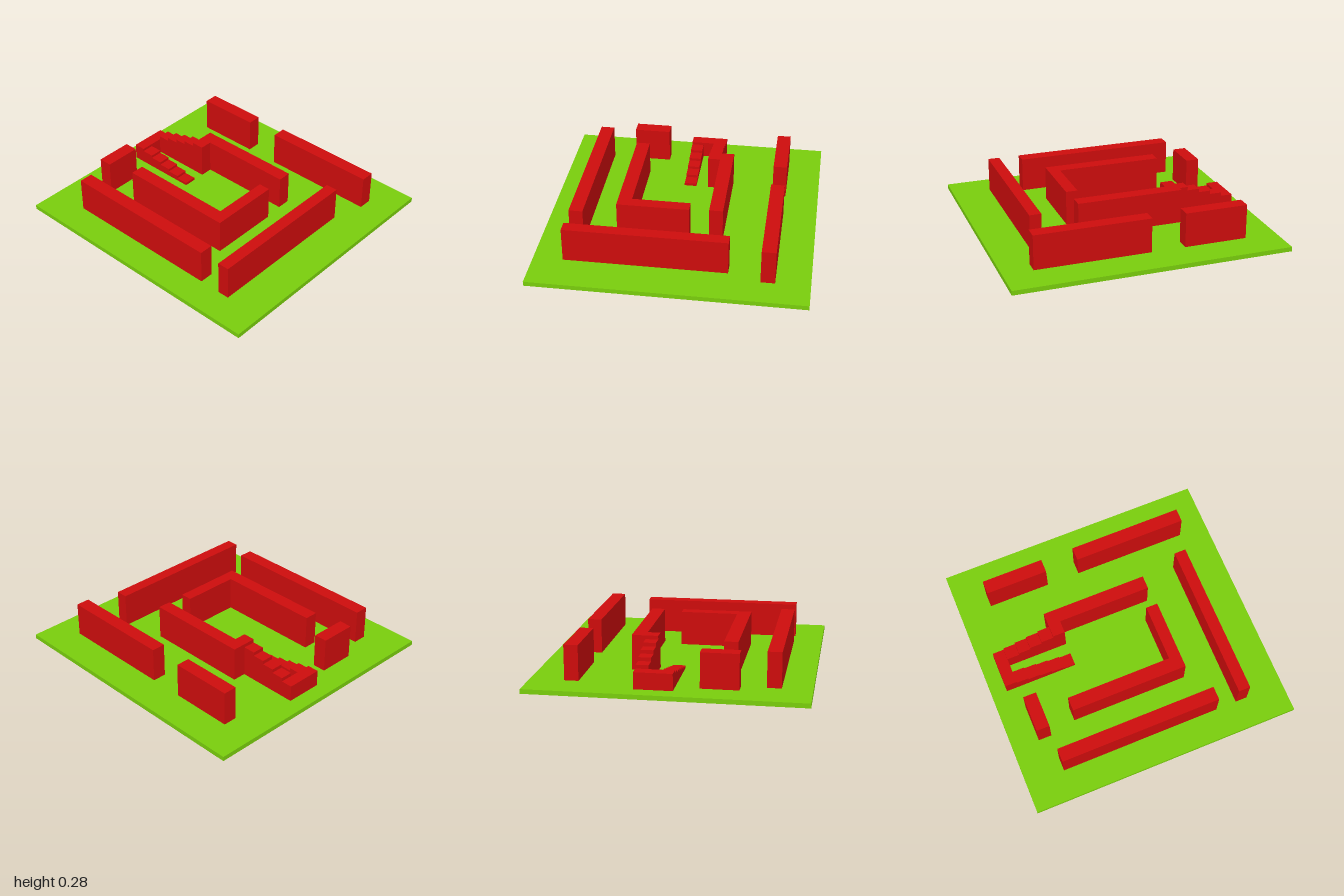
import * as THREE from 'three';

export function createModel() {
  const group = new THREE.Group();
  const grass = new THREE.MeshStandardMaterial({ color: 0x78cc0c });
  grass.name = 'grass green';
  const brick = new THREE.MeshStandardMaterial({ color: 0xcc0c0c });
  brick.name = 'brick red';

  const FLOOR = 0.033, WALL_TOP = 0.285, LANDING_TOP = 0.152;

  // Axis-aligned block given by its extents
  function block(name, material, x0, x1, y0, y1, z0, z1, parent = group) {
    const mesh = new THREE.Mesh(new THREE.BoxGeometry(x1 - x0, y1 - y0, z1 - z0), material);
    mesh.position.set((x0 + x1) / 2, (y0 + y1) / 2, (z0 + z1) / 2);
    mesh.name = name;
    parent.add(mesh);
  }

  block('ground', grass, -0.968, 0.968, 0, FLOOR, -1, 1);

  // Walls: name, x range, z range
  const walls = [
    ['outerRightWall', -0.757, -0.657, -0.715, 0.475],
    ['frontWall', -0.757, 0.398, 0.63, 0.716],
    ['outerLeftFrontWall', 0.625, 0.725, -0.055, 0.785],
    ['outerLeftBackWall', 0.625, 0.725, -0.762, -0.303],
    ['backWall', -0.482, -0.216, -0.802, -0.705],
    ['innerRightWall', -0.44, -0.34, -0.51, 0.268],
    ['innerFrontWall', -0.44, 0.08, 0.268, 0.354],
    ['innerLeftWall', 0.22, 0.318, -0.44, 0.34],
  ];
  for (const [name, x0, x1, z0, z1] of walls) block(name, brick, x0, x1, FLOOR, WALL_TOP, z0, z1);

  // U-shaped staircase: landing, lower flight going down, upper flight going up
  const stairs = new THREE.Group();
  stairs.name = 'staircase';
  group.add(stairs);
  block('landing', brick, -0.048, 0.22, FLOOR, LANDING_TOP, -0.885, -0.8, stairs);
  const steps = 5, depth = 0.09;
  for (let i = 0; i < steps; i++) {
    const z = -0.8 + i * depth;
    const down = LANDING_TOP - (i + 1) * (LANDING_TOP - FLOOR) / (steps + 1);
    const up = LANDING_TOP + (i + 1) * (WALL_TOP - LANDING_TOP) / steps;
    block('lowerStep', brick, -0.048, 0.042, FLOOR, down, z, z + depth, stairs);
    block('upperStep', brick, 0.13, 0.22, FLOOR, up, z, z + depth, stairs);
  }
  return group;
}
